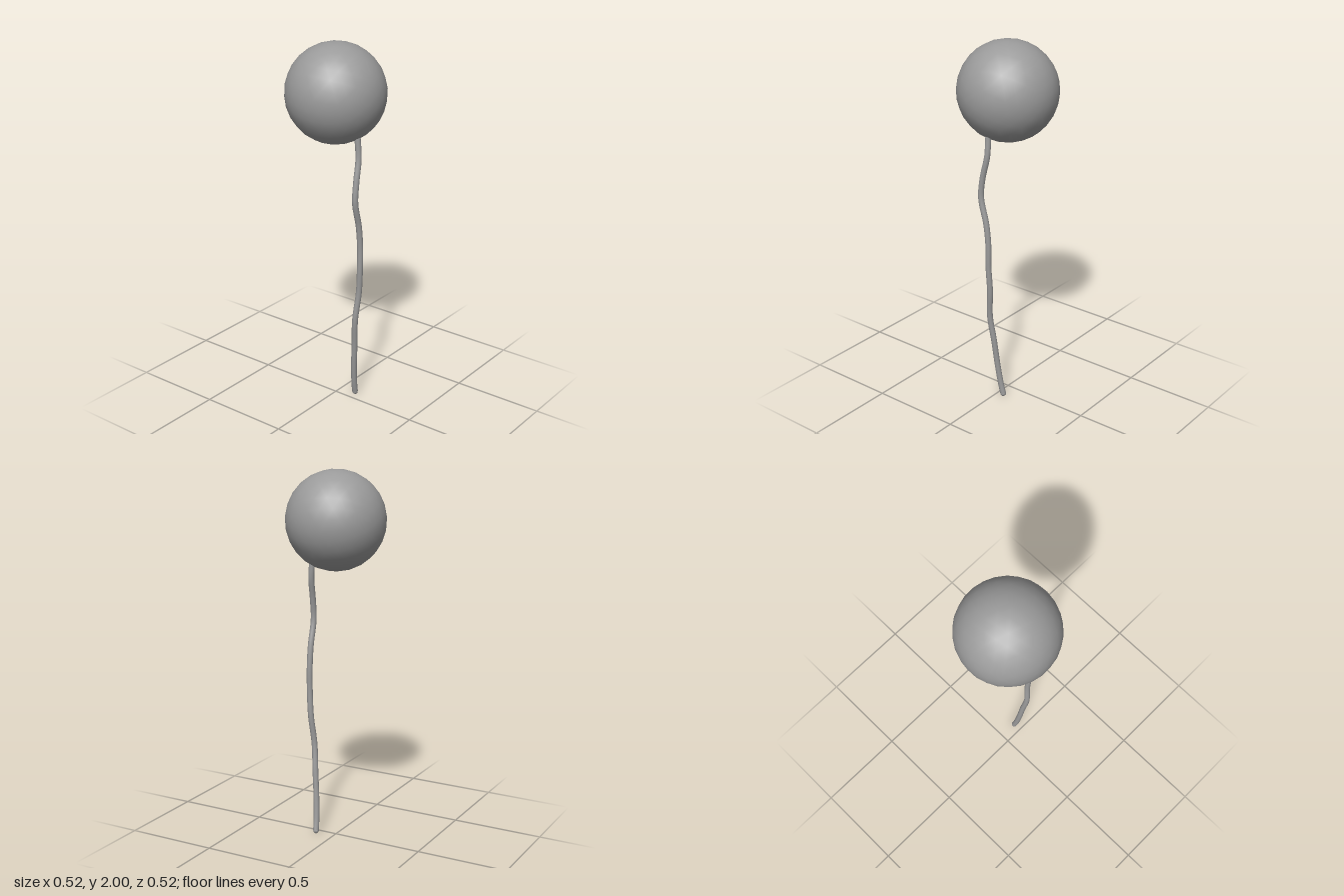
import * as THREE from 'three';

export function createModel() {
  const group = new THREE.Group();
  const material = new THREE.MeshStandardMaterial({ color: 0x9b9b9b });
  const add = (name, geometry) => {
    const mesh = new THREE.Mesh(geometry, material);
    mesh.name = name;
    group.add(mesh);
    return mesh;
  };

  // Round ball on top, smooth shaded and slightly turned
  const ball = add('ball', new THREE.IcosahedronGeometry(0.264, 4));
  ball.position.y = 1.737;
  ball.rotation.set(0.1, 0.2, 0.1);

  // Wavy string hanging from the lower front of the ball
  const points = [
    [0.045, 0.018, 0.101], [0.032, 0.08, 0.105], [0.016, 0.2, 0.114], [0.003, 0.35, 0.127],
    [-0.013, 0.5, 0.141], [0, 0.66, 0.155], [-0.003, 0.8, 0.163], [-0.003, 0.93, 0.163],
    [-0.016, 1.05, 0.163], [-0.049, 1.19, 0.163], [-0.039, 1.3, 0.162], [-0.013, 1.42, 0.156],
    [-0.011, 1.53, 0.147],
  ].map((p) => new THREE.Vector3(...p));
  const radius = 0.016;
  const path = new THREE.CatmullRomCurve3(points);
  add('string', new THREE.TubeGeometry(path, 60, radius, 10));

  // Rounded ends close the string
  for (const [name, point] of [['stringTip', points[0]], ['stringTop', points[points.length - 1]]]) {
    add(name, new THREE.SphereGeometry(radius, 10, 8)).position.copy(point);
  }
  return group;
}
